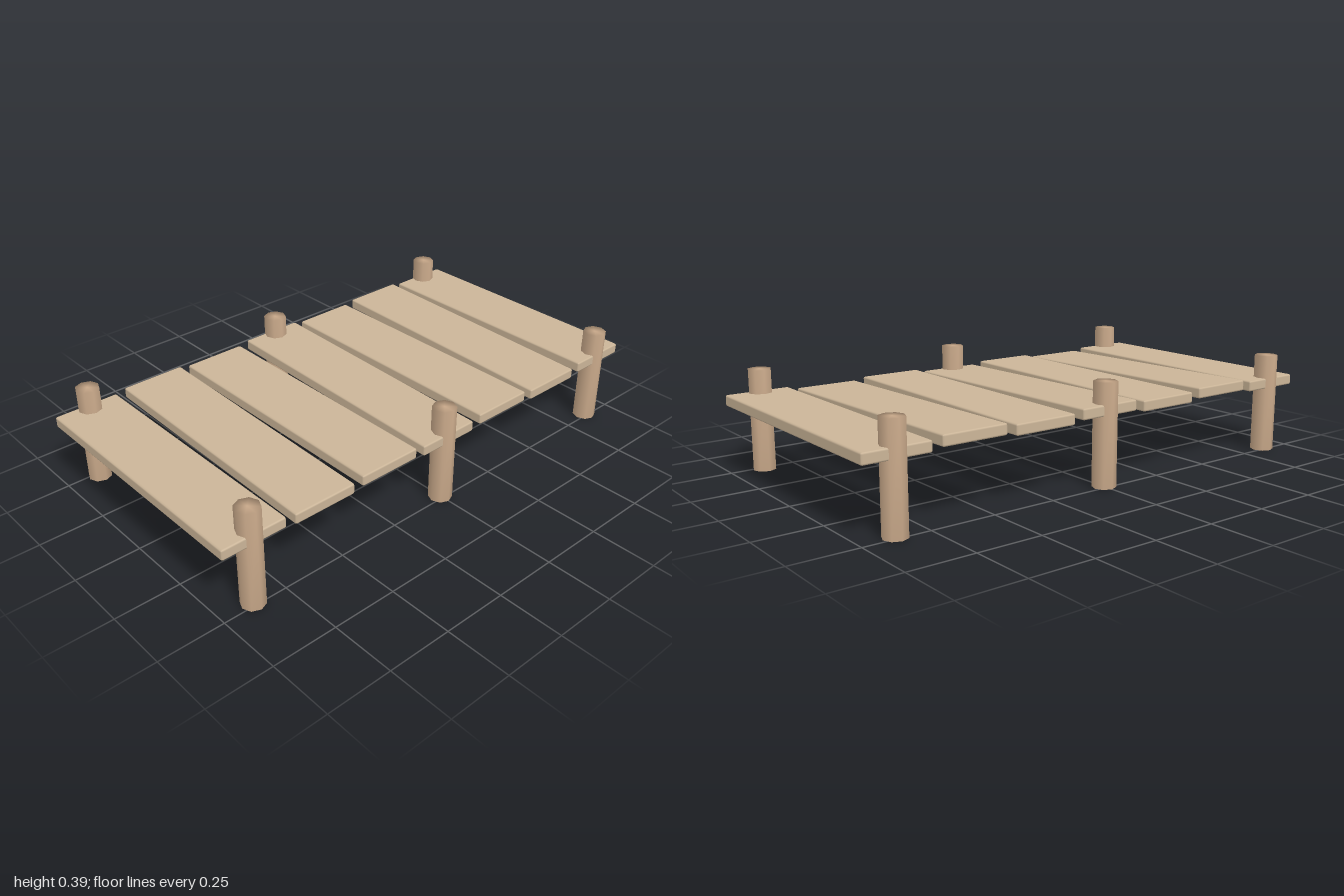
import * as THREE from 'three';
import { RoundedBoxGeometry } from 'three/addons/geometries/RoundedBoxGeometry.js';
import { mergeVertices } from 'three/addons/utils/BufferGeometryUtils.js';

const PLANKS = 7, SPACING = 0.291, POST_HEIGHT = 0.39;

// Eight-sided post with normals shared across the cap edges for a soft look
function postGeometry() {
  const source = new THREE.CylinderGeometry(0.045, 0.045, POST_HEIGHT, 8);
  source.deleteAttribute('normal');
  source.deleteAttribute('uv');
  const geometry = mergeVertices(source);
  geometry.computeVertexNormals();
  return geometry;
}

export function createModel() {
  const dock = new THREE.Group();
  dock.name = 'dock';
  const plankWood = new THREE.MeshStandardMaterial({ color: 0xcbb598 });
  const postWood = new THREE.MeshStandardMaterial({ color: 0xc9a98a });

  // Deck planks, every second one slightly tilted
  const plankGeometry = new RoundedBoxGeometry(1.03, 0.042, 0.254, 1, 0.007);
  for (let i = 0; i < PLANKS; i++) {
    const plank = new THREE.Mesh(plankGeometry, plankWood);
    plank.name = `plank${i + 1}`;
    plank.position.set(0, 0.279, (i - 3) * SPACING);
    if (i % 2 === 1) plank.rotation.z = -0.02;
    dock.add(plank);
  }

  // Three pairs of posts through the ends and middle of the deck
  const geometry = postGeometry();
  for (const [row, z] of [['back', -0.873], ['middle', 0], ['front', 0.873]]) {
    for (const side of [-1, 1]) {
      const post = new THREE.Mesh(geometry, postWood);
      post.name = row + (side > 0 ? 'LeftPost' : 'RightPost');
      post.position.set(side * 0.484, POST_HEIGHT / 2, z);
      dock.add(post);
    }
  }
  return dock;
}
